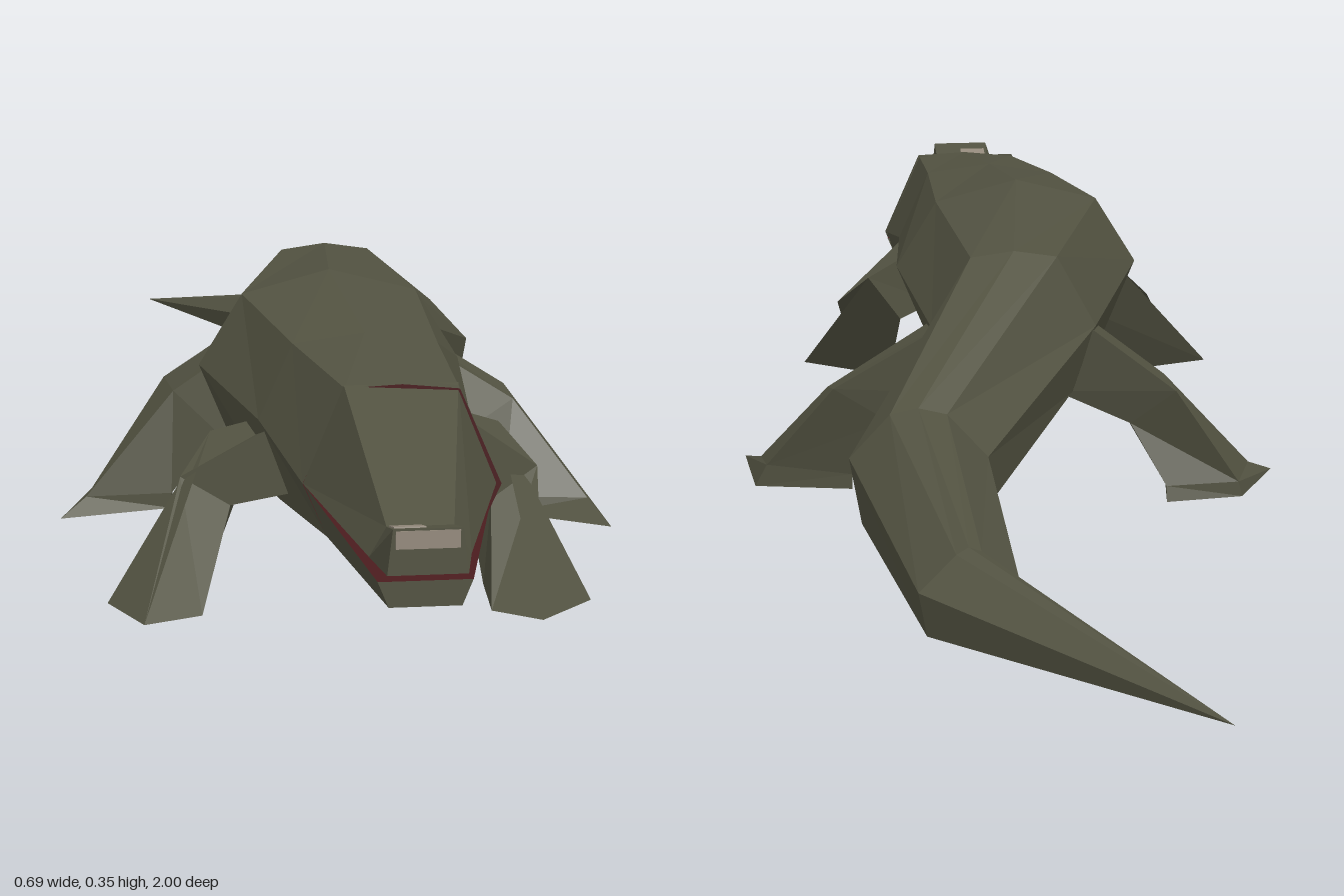
import * as THREE from 'three';

const paint = (name, color) => {
  const m = new THREE.MeshStandardMaterial({ color });
  m.name = name;
  m.flatShading = true;
  return m;
};

// Joins rings of corners into a closed, faceted solid.
// sides[i] is the material index of the strip from corner i to i + 1; caps = [first, last].
function loft(name, rings, mats, sides = [], caps = [0, 0]) {
  const n = rings[0].length;
  const buckets = mats.map(() => []);
  const quad = (a, b, c, d, m) => buckets[m].push([a, b, c], [a, c, d]);
  for (let r = 0; r + 1 < rings.length; r++)
    for (let i = 0; i < n; i++) {
      const j = (i + 1) % n;
      quad(rings[r][i], rings[r][j], rings[r + 1][j], rings[r + 1][i], sides[i] ?? 0);
    }
  const first = rings[0], last = rings[rings.length - 1];
  for (let i = 1; i + 1 < n; i++) {
    buckets[caps[0]].push([first[0], first[i + 1], first[i]]);
    buckets[caps[1]].push([last[0], last[i], last[i + 1]]);
  }
  // Turn all faces outward using the signed volume
  const v = p => new THREE.Vector3(...p);
  let volume = 0;
  buckets.flat().forEach(([a, b, c]) => { volume += v(a).dot(v(b).cross(v(c))); });
  const geo = new THREE.BufferGeometry();
  const pos = [];
  buckets.forEach((tris, m) => {
    const start = pos.length / 3;
    for (const [a, b, c] of tris) {
      if (v(b).sub(v(a)).cross(v(c).sub(v(a))).length() < 1e-9) continue;
      pos.push(...a, ...(volume < 0 ? [...c, ...b] : [...b, ...c]));
    }
    geo.addGroup(start, pos.length / 3 - start, m);
  });
  geo.setAttribute('position', new THREE.Float32BufferAttribute(pos, 3));
  geo.computeVertexNormals();
  const mesh = new THREE.Mesh(geo, mats);
  mesh.name = name;
  return mesh;
}

export function createModel() {
  const hide = paint('olive hide', 0x525241);
  const belly = paint('pale belly', 0x948a7c);
  const mouth = paint('mouth red', 0x4a1c1e);
  const mats = [hide, belly, mouth];
  const model = new THREE.Group();
  model.name = 'crocodile';

  // Body and tail: centre x, z, ridge y, shoulder w/y, flank w/y, belly w/y, skew
  const body = [
    [0.01, 0.64, 0.302, 0.065, 0.297, 0.113, 0.185, 0.085, 0.122, 0.12],
    [-0.01, 0.47, 0.325, 0.085, 0.312, 0.125, 0.22, 0.1, 0.123, 0.1],
    [-0.025, 0.25, 0.355, 0.107, 0.327, 0.16, 0.24, 0.11, 0.12, 0],
    [0.005, -0.03, 0.33, 0.055, 0.322, 0.105, 0.23, 0.075, 0.142, 0.05],
    [0.147, -0.29, 0.203, 0.035, 0.195, 0.085, 0.14, 0.07, 0.056, 0.06],
    [0.115, -0.63, 0.137, 0.015, 0.13, 0.06, 0.09, 0.05, 0.036, -0.33],
    [-0.14, -1, 0.05, 0, 0.05, 0, 0.05, 0, 0.05, 0],
  ];
  const bodyRings = body.map(([x, z, top, sw, sy, fw, fy, bw, by, skew]) =>
    [[0, top], [sw, sy], [fw, fy], [bw, by], [-bw, by], [-fw, fy], [-sw, sy]]
      .map(([dx, y]) => [x + dx, y, z + dx * skew]));
  model.add(loft('bodyAndTail', bodyRings, mats, [0, 0, 0, 1, 0, 0, 0], [2, 0]));

  // Jaws: centre x, z, upper half width and y, lower half width and y
  const jaw = rows => rows.map(([x, z, tw, ty, bw, by]) =>
    [[x - tw, ty, z], [x + tw, ty, z], [x + bw, by, z], [x - bw, by, z]]);
  model.add(loft('upperJaw', jaw([
    [0.01, 0.63, 0.066, 0.3, 0.113, 0.186],
    [-0.012, 0.93, 0.037, 0.215, 0.056, 0.182],
    [-0.014, 1, 0.038, 0.231, 0.044, 0.18],
  ]), mats, [0, 0, 2, 0]));
  model.add(loft('lowerJaw', jaw([
    [0.01, 0.62, 0.112, 0.184, 0.086, 0.122],
    [-0.012, 0.97, 0.052, 0.165, 0.04, 0.136],
  ]), mats, [2, 0, 1, 0]));

  // Pale nose tip, on the front and on the raised top
  const noseFront = new THREE.Mesh(new THREE.BoxGeometry(0.07, 0.02, 0.003), belly);
  noseFront.name = 'noseFront';
  noseFront.position.set(-0.014, 0.219, 0.9995);
  const noseTop = new THREE.Mesh(new THREE.BoxGeometry(0.035, 0.003, 0.04), belly);
  noseTop.name = 'noseTop';
  noseTop.position.set(-0.03, 0.2215, 0.958);
  noseTop.rotation.x = -0.225;
  model.add(noseFront, noseTop);

  // Legs: hip or shoulder, joint, then sole, four corners each
  const shoulder = s => [[s * 0.07, 0.23, 0.43], [s * 0.09, 0.235, 0.49],
    [s * 0.08, 0.15, 0.52], [s * 0.07, 0.14, 0.43]];
  const hip = s => [[s * 0.05, 0.26, -0.03], [s * 0.06, 0.25, 0.04],
    [s * 0.05, 0.15, 0.06], [s * 0.05, 0.14, -0.02]];
  const legs = {
    rightFrontLeg: [shoulder(-1),
      [[-0.185, 0.19, 0.385], [-0.225, 0.145, 0.425], [-0.17, 0.12, 0.47], [-0.15, 0.125, 0.4]],
      [[-0.32, 0.02, 0.52], [-0.285, 0.02, 0.615], [-0.215, 0.02, 0.585], [-0.205, 0.02, 0.48]]],
    leftFrontLeg: [shoulder(1),
      [[0.165, 0.19, 0.38], [0.205, 0.145, 0.425], [0.14, 0.12, 0.48], [0.12, 0.125, 0.4]],
      [[0.245, 0.018, 0.57], [0.175, 0.018, 0.645], [0.122, 0.018, 0.6], [0.13, 0.018, 0.49]]],
    rightHindLeg: [hip(-1),
      [[-0.2, 0.15, -0.07], [-0.195, 0.15, 0.01], [-0.14, 0.1, 0.045], [-0.145, 0.1, -0.04]],
      [[-0.285, 0.02, -0.05], [-0.31, 0.02, 0.035], [-0.2, 0.02, 0.03], [-0.19, 0.02, -0.06]],
      [[-0.29, 0, -0.05], [-0.345, 0, 0.065], [-0.2, 0, 0.03], [-0.19, 0, -0.065]]],
    leftHindLeg: [hip(1),
      [[0.235, 0.145, 0], [0.24, 0.135, 0.045], [0.17, 0.1, 0.08], [0.165, 0.1, 0]],
      [[0.32, 0.03, 0.05], [0.325, 0.02, 0.12], [0.22, 0.02, 0.1], [0.21, 0.02, 0.03]],
      [[0.335, 0, 0.055], [0.343, 0, 0.19], [0.22, 0, 0.105], [0.21, 0, 0.03]]],
  };
  for (const [name, rings] of Object.entries(legs)) model.add(loft(name, rings, mats));
  return model;
}
